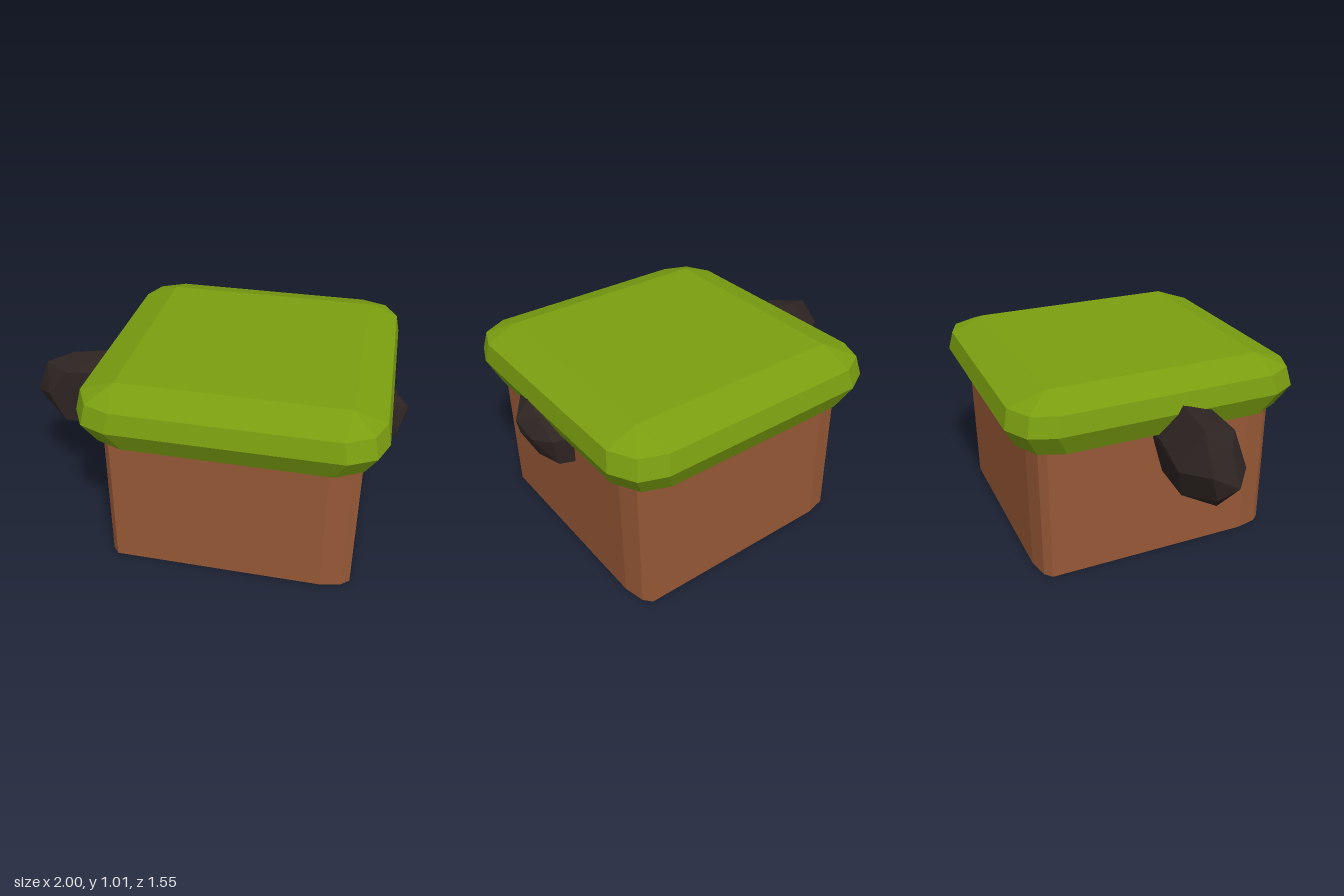
import * as THREE from 'three';
import { ConvexGeometry } from 'three/addons/geometries/ConvexGeometry.js';

const material = (color) => new THREE.MeshStandardMaterial({ color, flatShading: true });

// Rectangle outline with cut corners; each cut is [setback along incoming side, along outgoing side]
function ring(y, halfX, halfZ, cuts, cx, cz = 0) {
  const points = [];
  [[1, 1], [-1, 1], [-1, -1], [1, -1]].forEach(([sx, sz], k) => {
    for (const [a, b] of cuts) {
      const [dx, dz] = k % 2 ? [a, b] : [b, a];
      points.push(new THREE.Vector3(cx + sx * (halfX - dx), y, cz + sz * (halfZ - dz)));
    }
  });
  return points;
}

// Closed solid through a stack of rings, bottom to top
function loft(rings) {
  const positions = [];
  const tri = (...corners) => corners.forEach((p) => positions.push(p.x, p.y, p.z));
  const middle = (r) => r.reduce((s, p) => s.add(p), new THREE.Vector3()).divideScalar(r.length);
  const count = rings[0].length;
  const low = rings[0], high = rings[rings.length - 1];
  const lowMid = middle(low), highMid = middle(high);
  for (let i = 0; i < count; i++) {
    const j = (i + 1) % count;
    for (let k = 0; k < rings.length - 1; k++) {
      const r = rings[k], s = rings[k + 1];
      tri(r[i], s[i], s[j]);
      tri(r[i], s[j], r[j]);
    }
    tri(lowMid, low[i], low[j]);
    tri(highMid, high[j], high[i]);
  }
  const geometry = new THREE.BufferGeometry();
  geometry.setAttribute('position', new THREE.Float32BufferAttribute(positions, 3));
  geometry.computeVertexNormals();
  return geometry;
}

export function createModel() {
  const group = new THREE.Group();
  const add = (name, geometry, mat) => {
    const mesh = new THREE.Mesh(geometry, mat);
    mesh.name = name;
    group.add(mesh);
  };

  // Earth block with unevenly bevelled corners
  const dirtCuts = [[0.06, 0], [0.025, 0.04], [0, 0.15]];
  add('dirtBlock', loft([0, 0.75].map((y) => ring(y, 0.64, 0.657, dirtCuts, 0.168))), material(0x965836));

  // Overhanging grass slab, its top sloping in to a smaller rectangle
  const cuts = [[0.2, 0], [0.07, 0.05], [0, 0.18]];
  const square = [[0, 0], [0, 0], [0, 0]];
  add('grassCap', loft([
    ring(0.73, 0.695, 0.715, cuts, 0.166),
    ring(0.85, 0.75, 0.775, cuts, 0.166),
    ring(0.95, 0.73, 0.752, cuts, 0.166),
    ring(1.01, 0.565, 0.568, square, 0.175, 0.006),
  ]), material(0x7a9e10));

  // Faceted stones embedded in the two sides
  const stone = material(0x2e2523);
  const rock = (name, points) =>
    add(name, new ConvexGeometry(points.map((p) => new THREE.Vector3(...p))), stone);

  rock('rightRock', [
    [-1, 0.64, 0.14], [-0.94, 0.81, 0.12], [-0.96, 0.7, 0.02], [-0.94, 0.56, 0.06],
    [-0.9, 0.68, 0.23], [-0.82, 0.52, 0.23], [-0.84, 0.46, 0.12], [-0.77, 0.65, -0.055],
    [-0.8, 0.855, 0.06], [-0.78, 0.82, 0.23], [-0.59, 0.89, 0.06], [-0.74, 0.5, -0.02],
    [-0.53, 0.44, 0.1], [-0.6, 0.52, 0.23], [-0.55, 0.84, 0.22], [-0.57, 0.72, -0.05],
    [-0.4, 0.48, 0.02], [-0.4, 0.87, 0.08], [-0.4, 0.5, 0.2], [-0.4, 0.8, 0.2], [-0.4, 0.7, -0.04],
  ]);

  rock('leftRock', [
    [0.995, 0.77, 0.1], [0.985, 0.7, 0.09], [0.97, 0.7, 0], [0.95, 0.68, 0.21],
    [0.93, 0.58, 0.03], [0.88, 0.53, 0.17], [0.915, 0.855, 0.11], [0.9, 0.84, 0.215],
    [0.92, 0.81, 0], [0.91, 0.71, -0.09], [0.88, 0.56, -0.08],
    [0.81, 0.475, 0.02], [0.81, 0.48, 0.18], [0.82, 0.5, 0.22], [0.8, 0.71, -0.12], [0.8, 0.56, -0.11],
    [0.7, 0.86, 0.12], [0.7, 0.84, 0.22], [0.7, 0.5, 0.2], [0.7, 0.5, 0], [0.7, 0.77, -0.07],
  ]);

  return group;
}
